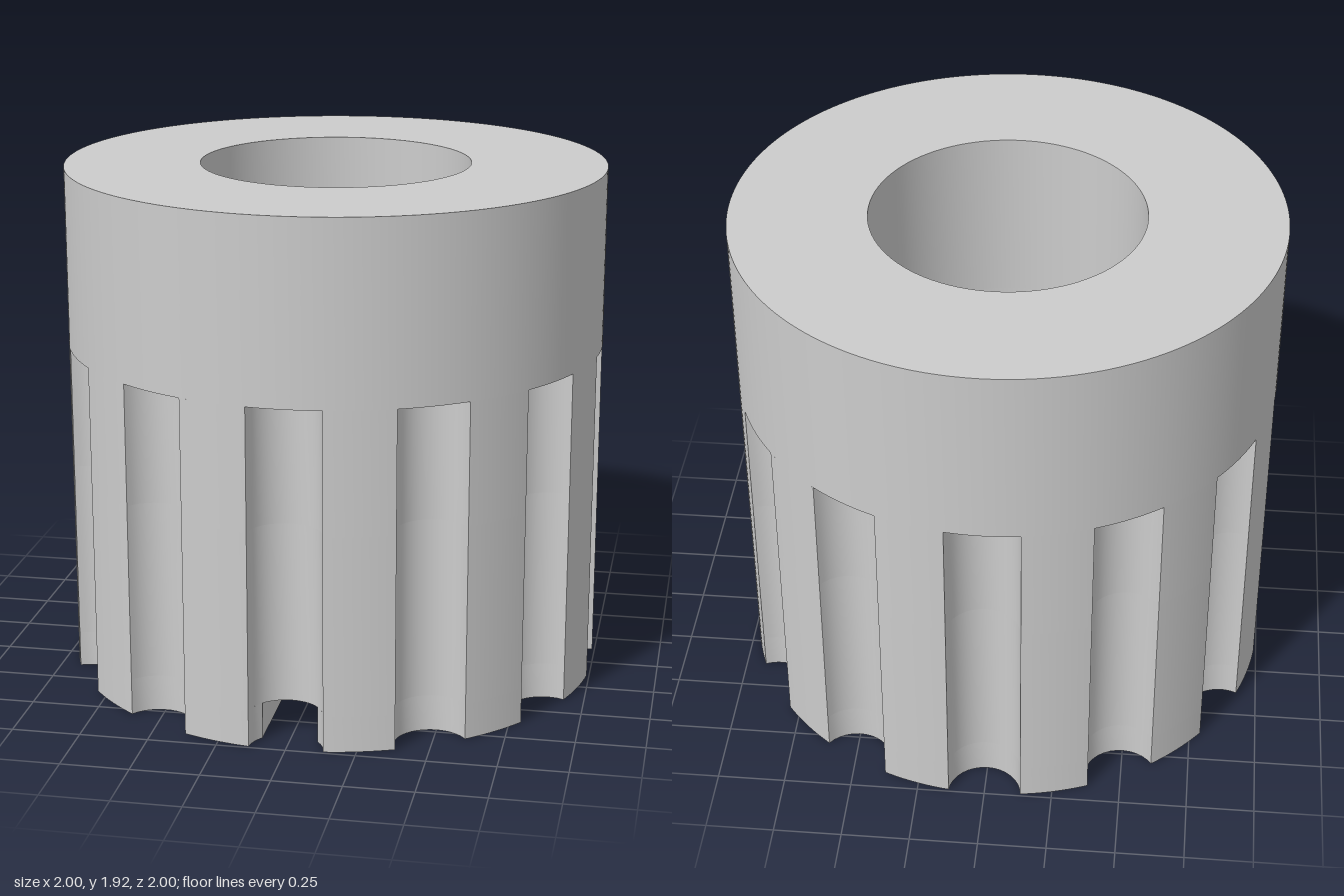
import * as THREE from 'three';
import { toCreasedNormals } from 'three/addons/utils/BufferGeometryUtils.js';

const HEIGHT = 1.917, FLUTE_TOP = 1.252, SLOT_TOP = 0.134, BORE_FLOOR = 0.8;
const BORE_R = 0.5, FLUTE_R = 0.134, SLOT_HALF = 0.1, FLUTES = 12;

// Points are (x, z) pairs seen in plan
const circle = (r, n) => Array.from({ length: n }, (_, i) => {
  const a = (i / n) * Math.PI * 2;
  return new THREE.Vector2(r * Math.sin(a), r * Math.cos(a));
});

// Unit circle with scooped flutes, optionally with a slot from the front to the centre
function flutedOutline(slotted) {
  const pts = [];
  const step = (Math.PI * 2) / FLUTES;
  const edge = 2 * Math.asin(FLUTE_R / 2);
  const sweep = Math.acos((1 - Math.cos(edge)) / FLUTE_R);
  const slotAngle = Math.asin(SLOT_HALF / FLUTE_R);
  for (let i = 0; i < FLUTES; i++) {
    const a = i * step, s = Math.sin(a), c = Math.cos(a);
    const scoop = (from, to, n) => {
      for (let k = 0; k <= n; k++) {
        const p = from + ((to - from) * k) / n;
        const r = 1 - FLUTE_R * Math.cos(p), t = FLUTE_R * Math.sin(p);
        pts.push(new THREE.Vector2(r * s + t * c, r * c - t * s));
      }
    };
    if (slotted && i === 0) {
      scoop(-sweep, -slotAngle, 4);
      pts.push(new THREE.Vector2(-SLOT_HALF, 0), new THREE.Vector2(SLOT_HALF, 0));
      scoop(slotAngle, sweep, 4);
    } else scoop(-sweep, sweep, 16);
    // rim between this flute and the next
    for (let k = 1; k < 10; k++) {
      const b = a + edge + ((step - 2 * edge) * k) / 10;
      pts.push(new THREE.Vector2(Math.sin(b), Math.cos(b)));
    }
  }
  return pts;
}

export function createModel() {
  const group = new THREE.Group();
  const material = new THREE.MeshStandardMaterial({ color: 0xcccccc });
  material.name = 'light grey';

  // Upright layer from y0 to y1 with an optional round bore, wound opposite to the outline
  function layer(name, outline, y0, y1, bored) {
    const shape = new THREE.Shape(outline);
    if (bored) shape.holes.push(new THREE.Path(circle(BORE_R, 96).reverse()));
    const geo = new THREE.ExtrudeGeometry(shape, { depth: y1 - y0, bevelEnabled: false });
    geo.rotateX(Math.PI / 2).translate(0, y1, 0);
    const mesh = new THREE.Mesh(toCreasedNormals(geo, 0.6), material);
    mesh.name = name;
    group.add(mesh);
  }

  layer('slottedBase', flutedOutline(true), 0, SLOT_TOP, false);
  layer('flutedBody', flutedOutline(false), SLOT_TOP, BORE_FLOOR, false);
  layer('flutedBoredBody', flutedOutline(false), BORE_FLOOR, FLUTE_TOP, true);
  layer('collar', circle(1, 240), FLUTE_TOP, HEIGHT, true);
  return group;
}
